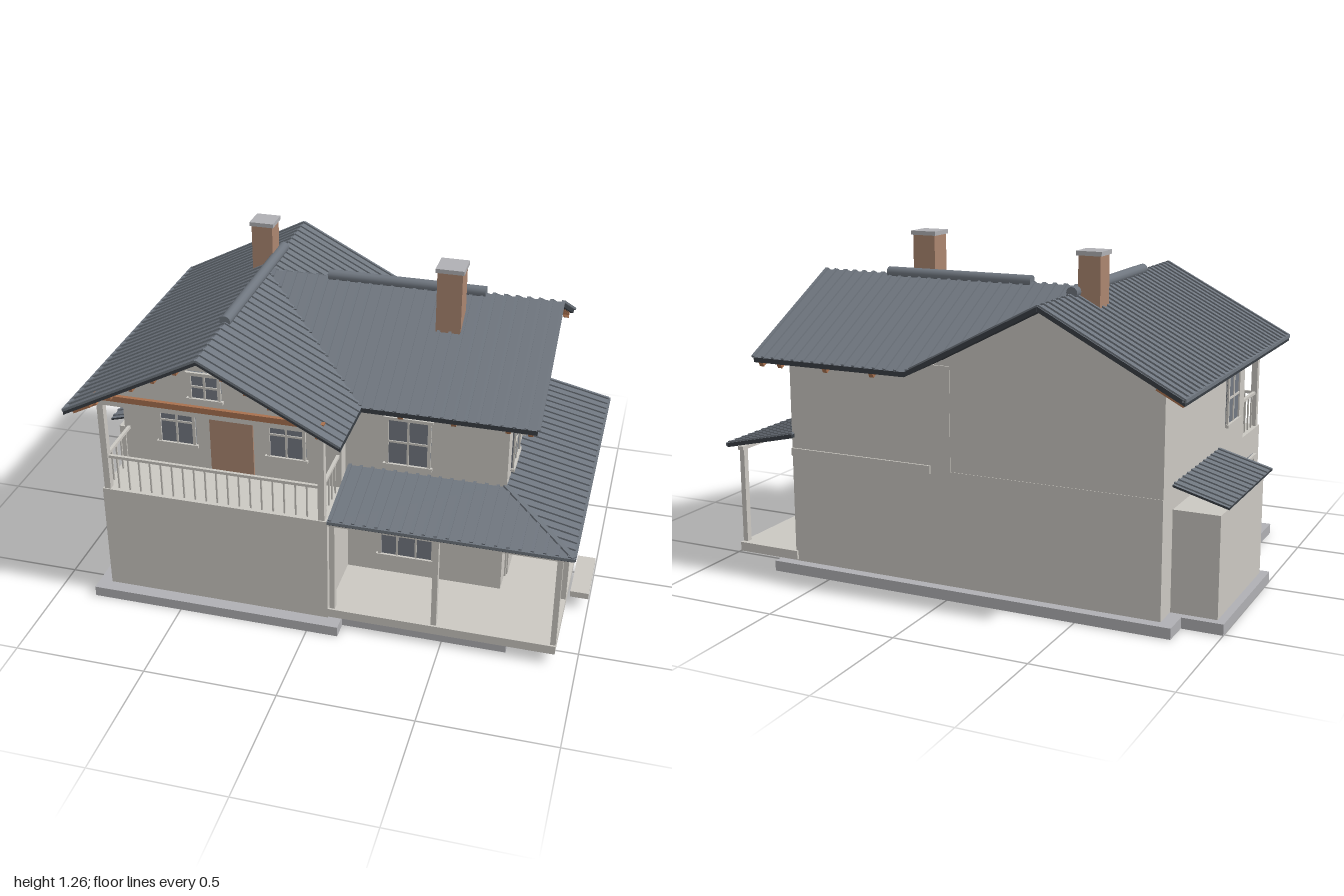
import * as THREE from 'three';

const mat = (name, color) => {
  const m = new THREE.MeshStandardMaterial({ color });
  m.name = name;
  return m;
};

export function createModel() {
  const house = new THREE.Group();
  house.name = 'house';
  const wall = mat('plaster', 0xcbc8c2);
  const roofM = mat('roofMetal', 0x6f767f);
  const dark = mat('darkTrim', 0x3a3f45);
  const glass = mat('glass', 0x737982);
  const stone = mat('concrete', 0xb0b0b4);
  const brick = mat('brickAndDoor', 0xab8670);
  const wood = mat('rafterWood', 0xa8714f);

  const group = (name, parent = house) => {
    const g = new THREE.Group();
    g.name = name;
    parent.add(g);
    return g;
  };
  // box given by its extents on each axis
  const box = (name, m, x0, x1, y0, y1, z0, z1, parent = house) => {
    const b = new THREE.Mesh(new THREE.BoxGeometry(x1 - x0, y1 - y0, z1 - z0), m);
    b.position.set((x0 + x1) / 2, (y0 + y1) / 2, (z0 + z1) / 2);
    b.name = name;
    parent.add(b);
    return b;
  };
  // straight bar between two points
  const bar = (name, m, a, b, w, h, parent = house) => {
    const A = new THREE.Vector3(...a), B = new THREE.Vector3(...b);
    const len = A.distanceTo(B);
    if (len < 0.01) return;
    const o = new THREE.Mesh(new THREE.BoxGeometry(w, h, len), m);
    o.position.copy(A).add(B).multiplyScalar(0.5);
    o.lookAt(B);
    o.name = name;
    parent.add(o);
  };
  // extruded outline along z
  const prism = (name, pts, z0, z1) => {
    const s = new THREE.Shape(pts.map(p => new THREE.Vector2(...p)));
    const g = new THREE.ExtrudeGeometry(s, { depth: z1 - z0, bevelEnabled: false });
    g.translate(0, 0, z0);
    const o = new THREE.Mesh(g, wall);
    o.name = name;
    house.add(o);
    return o;
  };
  // convex roof slab: metal top, dark edges and underside
  const slab = (name, corners, t = 0.018, parent = house) => {
    let p = corners.map(c => new THREE.Vector3(...c));
    const n = p[1].clone().sub(p[0]).cross(p[2].clone().sub(p[0]));
    if (n.y < 0) p.reverse();
    const q = p.map(v => v.clone().setY(v.y - t));
    const v = [];
    const tri = (...a) => a.forEach(k => v.push(k.x, k.y, k.z));
    for (let i = 1; i < p.length - 1; i++) tri(p[0], p[i], p[i + 1]);
    const top = v.length / 3;
    for (let i = 1; i < p.length - 1; i++) tri(q[0], q[i + 1], q[i]);
    p.forEach((a, i) => {
      const j = (i + 1) % p.length;
      tri(a, q[i], q[j]);
      tri(a, q[j], p[j]);
    });
    const g = new THREE.BufferGeometry();
    g.setAttribute('position', new THREE.Float32BufferAttribute(v, 3));
    g.computeVertexNormals();
    g.addGroup(0, top, 0);
    g.addGroup(top, v.length / 3 - top, 1);
    const o = new THREE.Mesh(g, [roofM, dark]);
    o.name = name;
    parent.add(o);
  };
  // framed window facing +z, then turned by ry
  const windowAt = (x, y, z, w, h, cols, ry = 0, rows = 2) => {
    const g = group('window');
    g.position.set(x, y, z);
    g.rotation.y = ry;
    const f = 0.012;
    box('pane', glass, -w / 2, w / 2, -h / 2, h / 2, -0.003, 0.003, g);
    for (const s of [-1, 1]) {
      const e = s * (w - f) / 2, k = s * (h - f) / 2;
      box('frameSide', wall, e - f / 2, e + f / 2, -h / 2, h / 2, 0, 0.009, g);
      box('frameRail', wall, -w / 2 - 0.008, w / 2 + 0.008, k - f / 2, k + f / 2, 0, 0.013, g);
    }
    for (let i = 1; i < cols; i++) {
      const u = -w / 2 + w * i / cols;
      box('mullion', wall, u - 0.004, u + 0.004, -h / 2, h / 2, 0, 0.007, g);
    }
    for (let i = 1; i < rows; i++) box('crossbar', wall, -w / 2, w / 2, -0.004, 0.004, 0, 0.007, g);
  };

  // foundation
  box('foundationLeft', stone, -0.85, 0.12, 0, 0.04, -0.62, 0.63);
  box('foundationRight', stone, 0.12, 0.74, 0, 0.04, -0.62, 0.56);
  box('foundationAnnex', stone, -1, -0.85, 0, 0.04, -0.51, 0.065);

  // walls
  box('groundFloorLeft', wall, -0.8, 0.07, 0.04, 0.47, -0.58, 0.58);
  const gable = y => [[-0.8, y], [0.06, y], [0.06, 0.857], [-0.37, 1.08], [-0.8, 0.857]];
  prism('upperFloorLeft', gable(0.47), -0.578, 0.345);
  prism('frontGable', gable(0.83), 0.345, 0.575);
  const rw = prism('rightWing', [[-0.29, 0.04], [0.58, 0.04], [0.58, 0.853], [0.145, 1.08], [-0.29, 0.853]], 0, 0.67);
  rw.rotation.y = Math.PI / 2;
  box('backBand', wall, 0.08, 0.67, 0.455, 0.485, -0.587, -0.57);
  box('annex', wall, -0.97, -0.8, 0.04, 0.41, -0.48, 0.04);
  slab('annexRoof', [[-1, 0.445, -0.49], [-1, 0.445, 0.05], [-0.8, 0.5, 0.05], [-0.8, 0.5, -0.49]], 0.008);
  for (let z = -0.47; z < 0.05; z += 0.045) bar('annexRib', roofM, [-1, 0.447, z], [-0.8, 0.502, z], 0.01, 0.007);

  // main roofs: two crossing gables meeting in valleys
  const RX = -0.37, RZ = -0.145, S = 0.52, T = 1.1;
  const hx = x => T - S * Math.abs(x - RX);
  const hz = z => T - S * Math.abs(z - RZ);
  const L = (x, z) => [x, hx(x), z], R = (x, z) => [x, hz(z), z];
  const E = 0.14, D = E - RX, ZF = RZ + D, ZB = RZ - D;
  const roof = group('mainRoof');
  slab('leftSlopeWest', [L(-0.89, -0.65), L(-0.89, 0.65), L(RX, 0.65), L(RX, -0.65)], 0.018, roof);
  slab('leftSlopeFront', [L(RX, RZ), L(RX, 0.65), L(E, 0.65), L(E, ZF)], 0.018, roof);
  slab('leftSlopeBack', [L(RX, ZB), L(E, ZB), L(RX, RZ)], 0.018, roof);
  for (const z of [ZF, ZB]) slab('rightSlope', [R(RX, RZ), R(E, z), R(0.775, z), R(0.775, RZ)], 0.018, roof);
  const up = p => [p[0], p[1] + 0.002, p[2]];
  for (let z = -0.64; z < 0.65; z += 0.043) {
    bar('rib', roofM, up(L(RX, z)), up(L(-0.89, z)), 0.012, 0.009, roof);
    bar('rib', roofM, up(L(RX, z)), up(L(Math.min(E, RX + Math.abs(z - RZ)), z)), 0.012, 0.009, roof);
  }
  for (let x = -0.34; x < 0.78; x += 0.043) {
    const d = Math.min(D, x - RX);
    for (const s of [-1, 1]) bar('rib', roofM, up(R(x, RZ)), up(R(x, RZ + s * d)), 0.012, 0.009, roof);
  }
  const cap = (x, z, len, alongX) => {
    const c = new THREE.Mesh(new THREE.CylinderGeometry(0.021, 0.021, len, 12), roofM);
    c.position.set(x, 1.107, z);
    if (alongX) c.rotation.z = Math.PI / 2;
    else c.rotation.x = Math.PI / 2;
    c.name = 'ridgeCap';
    roof.add(c);
  };
  cap(RX, -0.005, 0.71, false);
  cap(0.185, RZ, 0.61, true);
  bar('gutter', roofM, [-0.887, 0.83, -0.65], [-0.887, 0.83, 0.65], 0.014, 0.012, roof);

  // rafter tails and purlin ends
  const down = (p, d = 0.03) => [p[0], p[1] - d, p[2]];
  for (let i = 0; i < 7; i++) {
    const z = 0.6 - i * 0.2;
    bar('rafterTail', wood, down(L(-0.78, z)), down(L(-0.875, z)), 0.018, 0.022);
    if (z > 0.37) bar('rafterTail', wood, down(L(0.04, z)), down(L(0.13, z)), 0.018, 0.022);
  }
  for (const x of [0.28, 0.475, 0.67, 0.75]) for (const s of [-1, 1])
    bar('rafterTail', wood, down(R(x, RZ + s * 0.42)), down(R(x, RZ + s * (D - 0.01))), 0.018, 0.022);
  for (const s of [-1, 1]) for (let i = 1; i < 6; i++) {
    const d = s * i * 0.085;
    bar('purlinEnd', wood, down(L(RX + d, 0.57), 0.022), down(L(RX + d, 0.64), 0.022), 0.014, 0.014);
    bar('purlinEnd', wood, down(R(0.66, RZ + d), 0.022), down(R(0.765, RZ + d), 0.022), 0.014, 0.014);
  }
  box('gableBeam', wood, -0.795, 0.065, 0.858, 0.88, 0.57, 0.59);

  // chimneys
  for (const [x, z, w, d, y0, y1] of [[-0.42, -0.28, 0.084, 0.084, 0.98, 1.235], [0.383, -0.013, 0.094, 0.094, 1, 1.245]]) {
    box('chimney', brick, x - w / 2, x + w / 2, y0, y1, z - d / 2, z + d / 2);
    box('chimneyCap', stone, x - w / 2 - 0.006, x + w / 2 + 0.006, y1, y1 + 0.016, z - d / 2 - 0.006, z + d / 2 + 0.006);
  }

  // balcony: posts, beams and railing
  const balcony = group('balcony');
  for (const x of [-0.782, 0.047]) {
    box('post', wall, x - 0.012, x + 0.012, 0.47, 0.83, 0.548, 0.575, balcony);
    box('sideRail', wall, x - 0.006, x + 0.006, 0.6, 0.611, 0.345, 0.56, balcony);
    box('sideBeam', wall, x - 0.012, x + 0.012, 0.815, 0.835, 0.345, 0.575, balcony);
    for (let z = 0.385; z < 0.54; z += 0.043) box('baluster', wall, x - 0.003, x + 0.003, 0.47, 0.6, z - 0.003, z + 0.003, balcony);
  }
  box('frontRail', wall, -0.78, 0.045, 0.6, 0.611, 0.555, 0.567, balcony);
  for (let x = -0.74; x < 0.03; x += 0.043) box('baluster', wall, x - 0.003, x + 0.003, 0.47, 0.6, 0.558, 0.564, balcony);
  box('balconyDoor', brick, -0.45, -0.28, 0.47, 0.8, 0.34, 0.354);

  // wraparound porch
  const porch = group('porch');
  box('porchFloorFront', wall, 0.07, 0.92, 0.045, 0.08, 0.28, 0.58, porch);
  box('porchFloorSide', wall, 0.66, 0.92, 0.045, 0.08, -0.59, 0.28, porch);
  box('step', wall, 0.93, 1, 0.047, 0.072, -0.015, 0.225, porch);
  for (const [x, z] of [[0.085, 0.56], [0.47, 0.56], [0.91, 0.56], [0.91, 0.28], [0.91, -0.07], [0.91, -0.56]])
    box('column', wall, x - 0.01, x + 0.01, 0.08, 0.452, z - 0.012, z + 0.012, porch);
  box('beamFront', wall, 0.07, 0.92, 0.448, 0.462, 0.548, 0.572, porch);
  box('beamSide', wall, 0.898, 0.922, 0.448, 0.462, -0.58, 0.572, porch);
  const A = [0.66, 0.542, 0.28], C = [0.955, 0.475, 0.58];
  slab('porchRoofFront', [[0.07, 0.542, 0.28], A, C, [0.07, 0.475, 0.58]], 0.016, porch);
  slab('porchRoofSide', [A, [0.66, 0.542, -0.6], [0.955, 0.475, -0.6], C], 0.016, porch);
  const py = t => 0.544 - 0.067 * t;
  for (let x = 0.08; x < 0.95; x += 0.043) {
    const t = Math.max(0, (x - 0.66) / 0.295);
    bar('rib', roofM, [x, py(t), 0.28 + 0.3 * t], [x, py(1), 0.58], 0.012, 0.009, porch);
  }
  for (let z = -0.59; z < 0.57; z += 0.043) {
    const t = Math.max(0, (z - 0.28) / 0.3);
    bar('rib', roofM, [0.66 + 0.295 * t, py(t), z], [0.955, py(1), z], 0.012, 0.009, porch);
  }
  bar('hipCap', roofM, A, C, 0.018, 0.014, porch);
  bar('gutter', roofM, [0.07, 0.47, 0.58], [0.96, 0.47, 0.58], 0.012, 0.012, porch);
  bar('gutter', roofM, [0.957, 0.47, -0.6], [0.957, 0.47, 0.58], 0.012, 0.012, porch);

  // entrance door on the right side
  box('entranceFrame', wall, 0.665, 0.676, 0.08, 0.42, 0.005, 0.205);
  box('entranceLeaf', wall, 0.67, 0.681, 0.08, 0.405, 0.02, 0.19);

  // windows
  const q = Math.PI / 2;
  for (const x of [-0.582, -0.15]) windowAt(x, 0.665, 0.347, 0.15, 0.21, 2);
  windowAt(-0.37, 0.96, 0.577, 0.12, 0.115, 2);
  windowAt(0.3, 0.672, 0.292, 0.17, 0.21, 2);
  windowAt(0.303, 0.262, 0.292, 0.22, 0.215, 3);
  for (const z of [0.13, -0.142, -0.415]) windowAt(0.672, 0.668, z, 0.155, 0.215, 2, q);
  for (const z of [-0.12, -0.408]) windowAt(0.672, 0.26, z, 0.155, 0.215, 2, q);
  windowAt(0.672, 0.957, -0.142, 0.12, 0.12, 2, q);
  windowAt(-0.802, 0.672, 0.18, 0.155, 0.215, 2, -q);
  windowAt(-0.802, 0.262, 0.42, 0.155, 0.215, 2, -q);
  return house;
}
